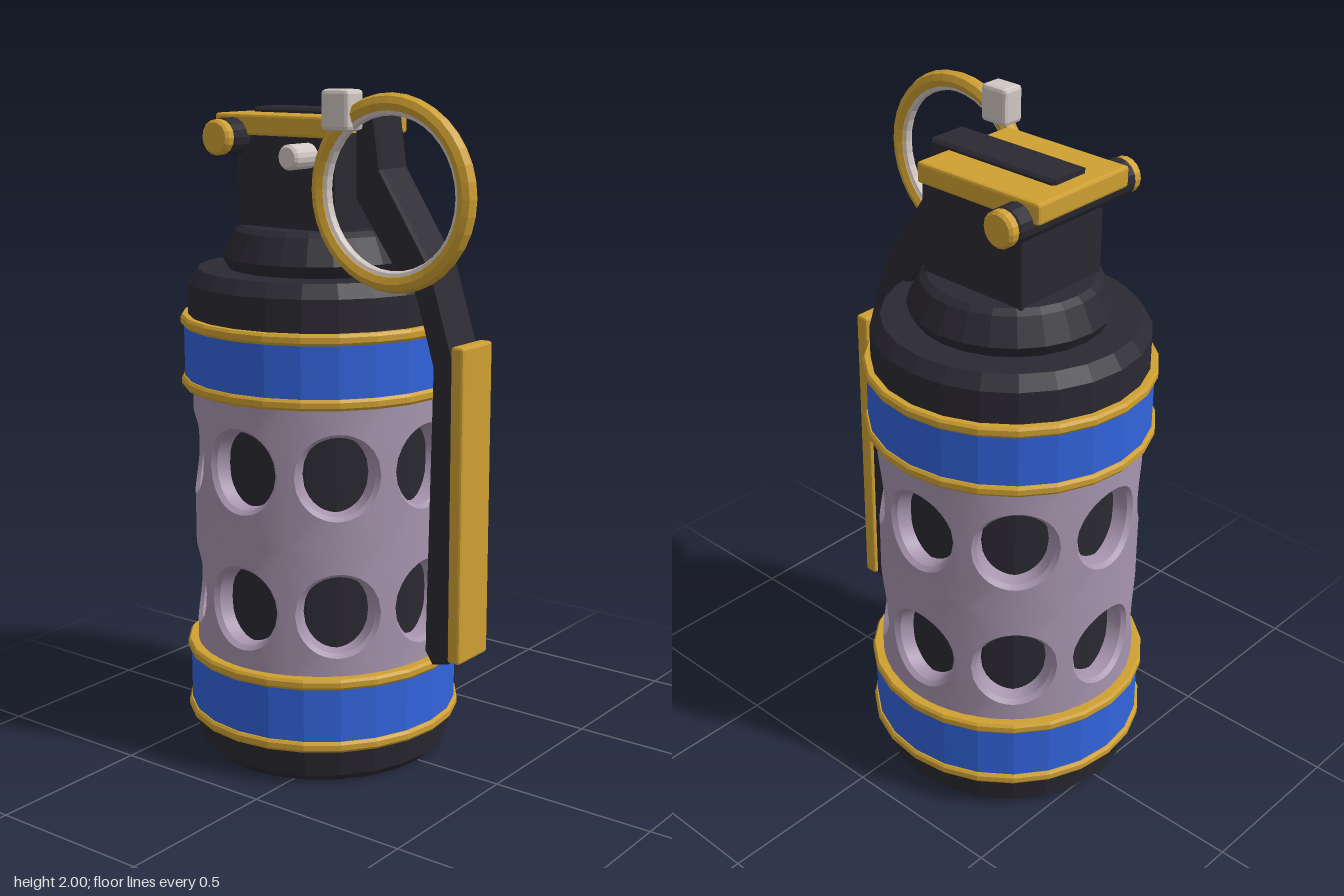
import * as THREE from 'three';
import { toCreasedNormals } from 'three/addons/utils/BufferGeometryUtils.js';
import { RoundedBoxGeometry } from 'three/addons/geometries/RoundedBoxGeometry.js';

const mat = (color, flatShading = true) => new THREE.MeshStandardMaterial({ color, flatShading });
const DARK = mat(0x2b2931), GOLD = mat(0xcfa032), BLUE = mat(0x3264dc), PALE = mat(0xd2c8c3);
const SLEEVE = mat(0xa794ae, false);
SLEEVE.side = THREE.DoubleSide;
const AXIS_X = -0.145, SIDES = 24;

export function createModel() {
  const model = new THREE.Group();
  const add = (name, geometry, material, x = 0, y = 0, z = 0) => {
    const mesh = new THREE.Mesh(geometry, material);
    mesh.name = name;
    mesh.position.set(x, y, z);
    model.add(mesh);
    return mesh;
  };
  // Turned parts share the body axis; points are [radius, y] from bottom to top
  const turned = (name, points, material) =>
    add(name, new THREE.LatheGeometry(points.map(p => new THREE.Vector2(...p)), SIDES), material, AXIS_X);
  const box = (name, x0, x1, y0, y1, z0, z1, material, bevel = 0.008) =>
    add(name, new RoundedBoxGeometry(x1 - x0, y1 - y0, z1 - z0, 1, bevel), material,
      (x0 + x1) / 2, (y0 + y1) / 2, (z0 + z1) / 2);
  // Chamfered rod lying along z
  const rod = (name, x, y, z0, z1, r, material) => {
    const h = Math.abs(z1 - z0) / 2, c = 0.008;
    const pts = [[0, -h], [r - c, -h], [r, -h + c], [r, h - c], [r - c, h], [0, h]];
    const g = new THREE.LatheGeometry(pts.map(p => new THREE.Vector2(...p)), 16).rotateX(Math.PI / 2);
    return add(name, g, material, x, y, (z0 + z1) / 2);
  };

  // Body
  turned('base', [[0, 0], [0.36, 0], [0.385, 0.025], [0.398, 0.1], [0.398, 0.13], [0, 0.13]], DARK);
  turned('core', [[0.33, 0.12], [0.33, 1.34]], DARK);
  for (const [name, y0, y1] of [['lower', 0.125, 0.318], ['upper', 1.142, 1.325]]) {
    turned(name + 'Band', [[0.33, y0], [0.408, y0], [0.408, y1], [0.33, y1]], BLUE);
    for (const y of [y0, y1])
      turned(name + 'BandTrim', [[0.38, y - 0.016], [0.412, y - 0.016], [0.418, y - 0.008],
        [0.418, y + 0.008], [0.412, y + 0.016], [0.38, y + 0.016]], GOLD);
  }
  add('perforatedSleeve', sleeveGeometry(), SLEEVE, AXIS_X);
  turned('shoulder', [[0.395, 1.32], [0.395, 1.435], [0.365, 1.475], [0, 1.475]], DARK);
  turned('neck', [[0.27, 1.47], [0.292, 1.51], [0.255, 1.585], [0.235, 1.6], [0, 1.6]], DARK);

  // Head
  box('headBlock', -0.325, 0.035, 1.58, 1.88, -0.165, 0.165, DARK);
  box('topPlate', -0.395, 0.035, 1.86, 1.92, -0.182, 0.178, GOLD);
  rod('hingePin', -0.325, 1.855, -0.235, 0.235, 0.054, DARK);
  for (const s of [-1, 1]) rod('hingeCap', -0.325, 1.855, s * 0.225, s * 0.262, 0.051, GOLD);
  rod('safetyPin', -0.06, 1.81, 0.15, 0.26, 0.036, PALE);

  // Pull ring
  add('pullRing', new THREE.TorusGeometry(0.239, 0.026, 8, 36), GOLD, 0.295, 1.73, 0.255);
  add('pullRingLining', new THREE.TorusGeometry(0.222, 0.017, 8, 36), PALE, 0.295, 1.73, 0.255);
  box('ringClip', 0.08, 0.175, 1.89, 2, 0.216, 0.29, PALE, 0.012);

  // Lever, a side profile extruded across z
  const b = 0.008;
  const profile = new THREE.Shape([
    [-0.335, 1.88], [-0.335, 1.927], [0.09, 1.927], [0.112, 1.77], [0.29, 1.5], [0.364, 1.265],
    [0.364, 0.38], [0.355, 0.365], [0.31, 0.355], [0.29, 0.385], [0.29, 0.43], [0.308, 1.23],
    [0.25, 1.42], [0.16, 1.52], [0.03, 1.7], [0.02, 1.88],
  ].map(p => new THREE.Vector2(...p)));
  add('lever', new THREE.ExtrudeGeometry(profile, {
    depth: 0.116, bevelEnabled: true, bevelSize: b, bevelThickness: b, bevelSegments: 1,
  }), DARK, 0, 0, -0.058);
  box('leverPlate', 0.368, 0.41, 0.37, 1.3, -0.075, 0.076, GOLD);

  return model;
}

// Two rows of eight cells, each a curved panel with a round chamfered hole
function sleeveGeometry() {
  const R = 0.385, halfW = Math.PI / 8, halfH = 0.21, perSide = 8;
  const rims = [[0.127, R], [0.116, R - 0.014], [0.112, 0.325]]; // [hole radius, depth radius]
  const pos = [], idx = [];
  const border = [];
  for (let side = 0; side < 4; side++)
    for (let i = 0; i < perSide; i++) {
      const t = -1 + 2 * i / perSide;
      border.push([[t, -1], [1, t], [-t, 1], [-1, -t]][side]);
    }
  const n = border.length;
  for (const cy of [0.515, 0.925])
    for (let k = 0; k < 8; k++) {
      const start = pos.length / 3;
      const put = (angle, y, r) => {
        const a = k * Math.PI / 4 + angle;
        pos.push(r * Math.sin(a), cy + y, r * Math.cos(a));
      };
      for (const [u, v] of border) put(u * halfW, v * halfH, R);
      for (const [hole, depth] of rims)
        for (const [u, v] of border) {
          const a = Math.atan2(v * halfH, u * halfW * R);
          put(hole * Math.cos(a) / R, hole * Math.sin(a), depth);
        }
      for (let ring = 0; ring < rims.length; ring++)
        for (let i = 0; i < n; i++) {
          const a = start + ring * n + i, b = start + ring * n + (i + 1) % n;
          idx.push(a, b, b + n, a, b + n, a + n);
        }
    }
  const g = new THREE.BufferGeometry();
  g.setAttribute('position', new THREE.Float32BufferAttribute(pos, 3));
  g.setIndex(idx);
  return toCreasedNormals(g, 0.5);
}
